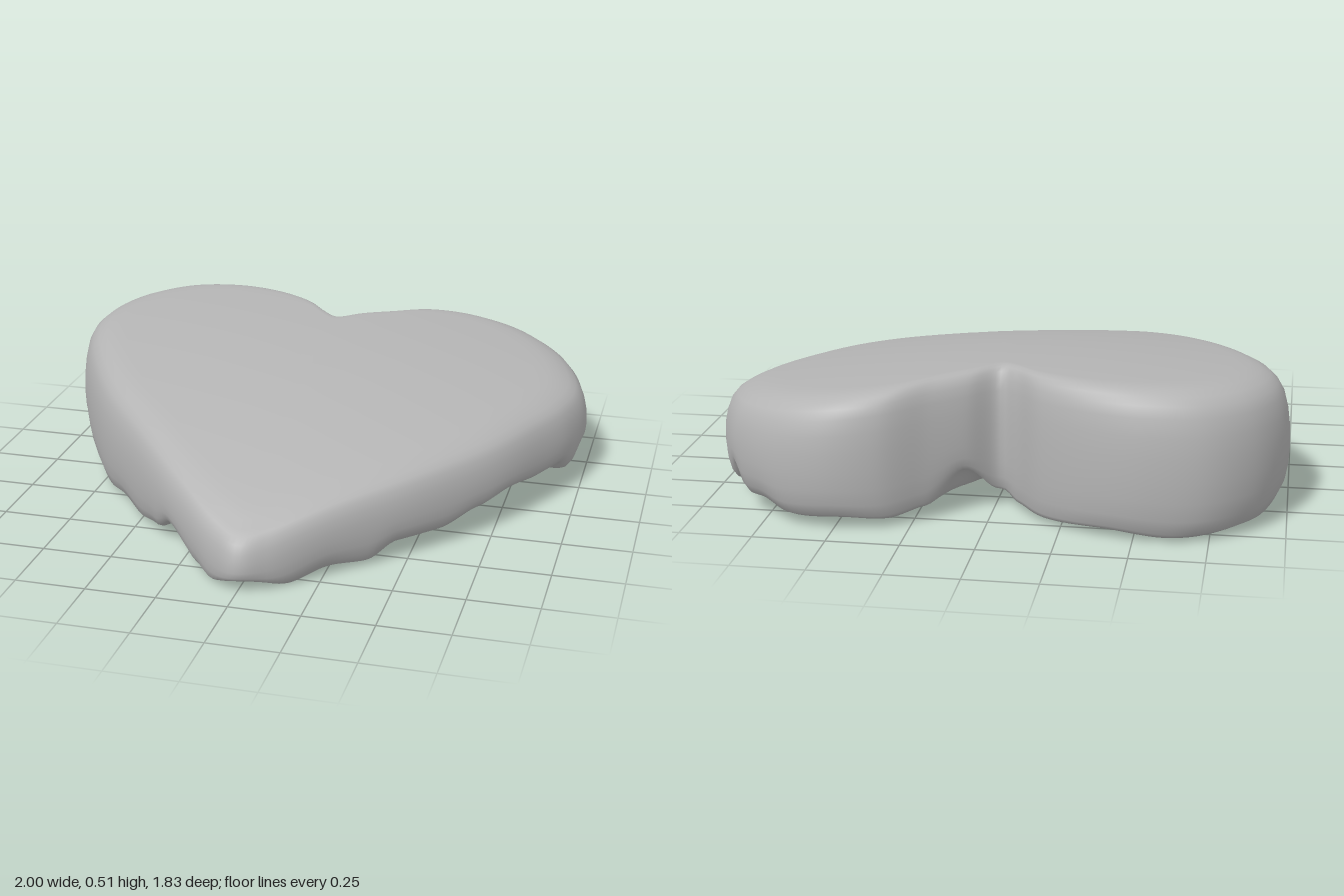
import * as THREE from 'three';

const CX = 0, CZ = -0.1, N = 320;                        // loft centre and points per ring
const HOLE = { x: 0.04, z: -0.06, r: 0.255, top: 0.175 }; // recess in the underside

// Heart outline in x, z: from the cleft, along the +x lobe to the tip and back
const OUTLINE = [
  [-0.02, -0.605], [0.08, -0.69], [0.2, -0.775], [0.35, -0.885], [0.53, -0.922], [0.72, -0.87],
  [0.885, -0.72], [0.97, -0.55], [0.998, -0.4], [0.965, -0.23], [0.885, -0.05], [0.75, 0.2],
  [0.535, 0.46], [0.3, 0.685], [0.1, 0.86], [0, 0.912], [-0.1, 0.86], [-0.29, 0.685],
  [-0.53, 0.43], [-0.735, 0.19], [-0.89, -0.07], [-0.975, -0.27], [-1, -0.41], [-0.975, -0.57],
  [-0.89, -0.73], [-0.745, -0.845], [-0.54, -0.88], [-0.345, -0.84], [-0.18, -0.75], [-0.08, -0.645],
];

// Height of the gathered hem around the outline: [share of the way round, y]
const HEM = [
  [0, 0.06], [0.025, 0.16], [0.05, 0.05], [0.075, 0.03], [0.1, 0.04], [0.13, 0.03], [0.15, 0.06],
  [0.167, 0.05], [0.18, 0.13], [0.191, 0.06], [0.205, 0.13], [0.235, 0.14], [0.252, 0.07],
  [0.267, 0.12], [0.29, 0.115], [0.32, 0.13], [0.345, 0.1], [0.375, 0.06], [0.405, 0.06],
  [0.425, 0.01], [0.45, 0.025], [0.475, 0], [0.503, 0.04], [0.528, 0], [0.543, 0.02],
  [0.575, 0.09], [0.595, 0.03], [0.62, 0.005], [0.645, 0.025], [0.67, 0.005], [0.715, 0.04],
  [0.735, 0.12], [0.755, 0.04], [0.79, 0.05], [0.83, 0.02], [0.88, 0.01], [0.92, 0.03],
  [0.96, 0.02], [0.985, 0.03], [1, 0.06],
];

const { lerp, smoothstep } = THREE.MathUtils;

function hemHeight(u) {
  const k = HEM.findIndex(([v]) => v > u);
  const [u0, y0] = HEM[k - 1], [u1, y1] = HEM[k];
  return lerp(y0, y1, smoothstep(u, u0, u1));
}

// Domed, tilted top, falling faster towards the front tip
const topHeight = (x, z) =>
  0.445 - 0.15 * z - 0.1 * z * z - 0.06 * Math.max(z, 0) ** 3 - 0.06 * x - 0.075 * x * x;

// Gently tilted underside, slightly arched across the middle
const underHeight = (x, z) =>
  0.004 + 0.04 * smoothstep(x, -0.2, 0.8) + 0.025 * Math.exp(-(((z + 0.2) / 0.15) ** 2));

// Skin a list of closed rings, each an array of [x, y, z]
function loft(rings) {
  const index = [], count = rings[0].length;
  for (let j = 0; j < rings.length - 1; j++) {
    for (let i = 0; i < count; i++) {
      const k = (i + 1) % count;
      const a = j * count + i, b = a + count, c = (j + 1) * count + k, d = j * count + k;
      index.push(a, c, b, a, d, c);
    }
  }
  const g = new THREE.BufferGeometry();
  g.setAttribute('position', new THREE.Float32BufferAttribute(rings.flat(2), 3));
  g.setIndex(index);
  g.computeVertexNormals();
  return g;
}

export function createModel() {
  const group = new THREE.Group();
  const grey = new THREE.MeshStandardMaterial({ color: 0xb4b4b4 });
  grey.name = 'plain grey';

  const curve = new THREE.CatmullRomCurve3(
    OUTLINE.map(([x, z]) => new THREE.Vector3(x, 0, z)), true, 'centripetal');
  const edge = curve.getSpacedPoints(N).slice(0, N);
  const ring = (fn) => edge.map((p, i) => fn(p, i / N));
  const scaled = (p, s) => [CX + (p.x - CX) * s, CZ + (p.z - CZ) * s];
  const onHole = (p) => {
    const dx = p.x - HOLE.x, dz = p.z - HOLE.z, f = HOLE.r / Math.hypot(dx, dz);
    return [HOLE.x + dx * f, HOLE.z + dz * f];
  };

  // Top surface, from the centre out
  const rings = [];
  for (const s of [0, 0.15, 0.3, 0.45, 0.6, 0.72, 0.8, 0.85]) {
    rings.push(ring((p) => {
      const [x, z] = scaled(p, s);
      return [x, topHeight(x, z), z];
    }));
  }

  // Rounded rim and side wall: [scale, share of the height]; folds fade upwards
  const side = [[0.89, 0.985], [0.925, 0.955], [0.953, 0.9], [0.974, 0.82], [0.989, 0.69], [0.998, 0.54],
    [1, 0.38], [0.997, 0.24], [0.988, 0.12], [0.97, 0.03], [0.945, 0]];
  for (const [s, t] of side) {
    rings.push(ring((p, u) => {
      const [x, z] = scaled(p, s);
      const [tx, tz] = scaled(p, Math.min(s, 0.92));
      const share = t ** (1 + 0.7 * Math.exp(-(((u - 0.503) / 0.03) ** 2)));
      return [x, lerp(0.05, topHeight(tx, tz), share) + (hemHeight(u) - 0.05) * (1 - share) ** 3, z];
    }));
  }

  // Gathered underside, its creases fading towards the opening
  for (const k of [0.06, 0.15, 0.28, 0.42, 0.58, 0.74, 0.88, 1]) {
    rings.push(ring((p, u) => {
      const a = scaled(p, 0.945), b = onHole(p);
      const x = lerp(a[0], b[0], k), z = lerp(a[1], b[1], k);
      const crease = 0.012 * Math.abs(Math.sin(u * Math.PI * 26)) * Math.sin(k * Math.PI);
      return [x, lerp(hemHeight(u), underHeight(x, z), smoothstep(k, -0.1, 0.9)) + crease, z];
    }));
  }
  const body = new THREE.Mesh(loft(rings), grey);
  body.name = 'heartCushion';
  group.add(body);

  // Round recess in the underside: wall, then ceiling
  const wall = [0, 0.5, 1].map((t) => ring((p) => {
    const [x, z] = onHole(p);
    return [x, lerp(underHeight(x, z), HOLE.top, t), z];
  }));
  const recessWall = new THREE.Mesh(loft(wall), grey);
  recessWall.name = 'recessWall';
  const ceiling = new THREE.Mesh(new THREE.CircleGeometry(HOLE.r, 64), grey);
  ceiling.name = 'recessCeiling';
  ceiling.rotation.x = Math.PI / 2;
  ceiling.position.set(HOLE.x, HOLE.top, HOLE.z);
  group.add(recessWall, ceiling);
  return group;
}
